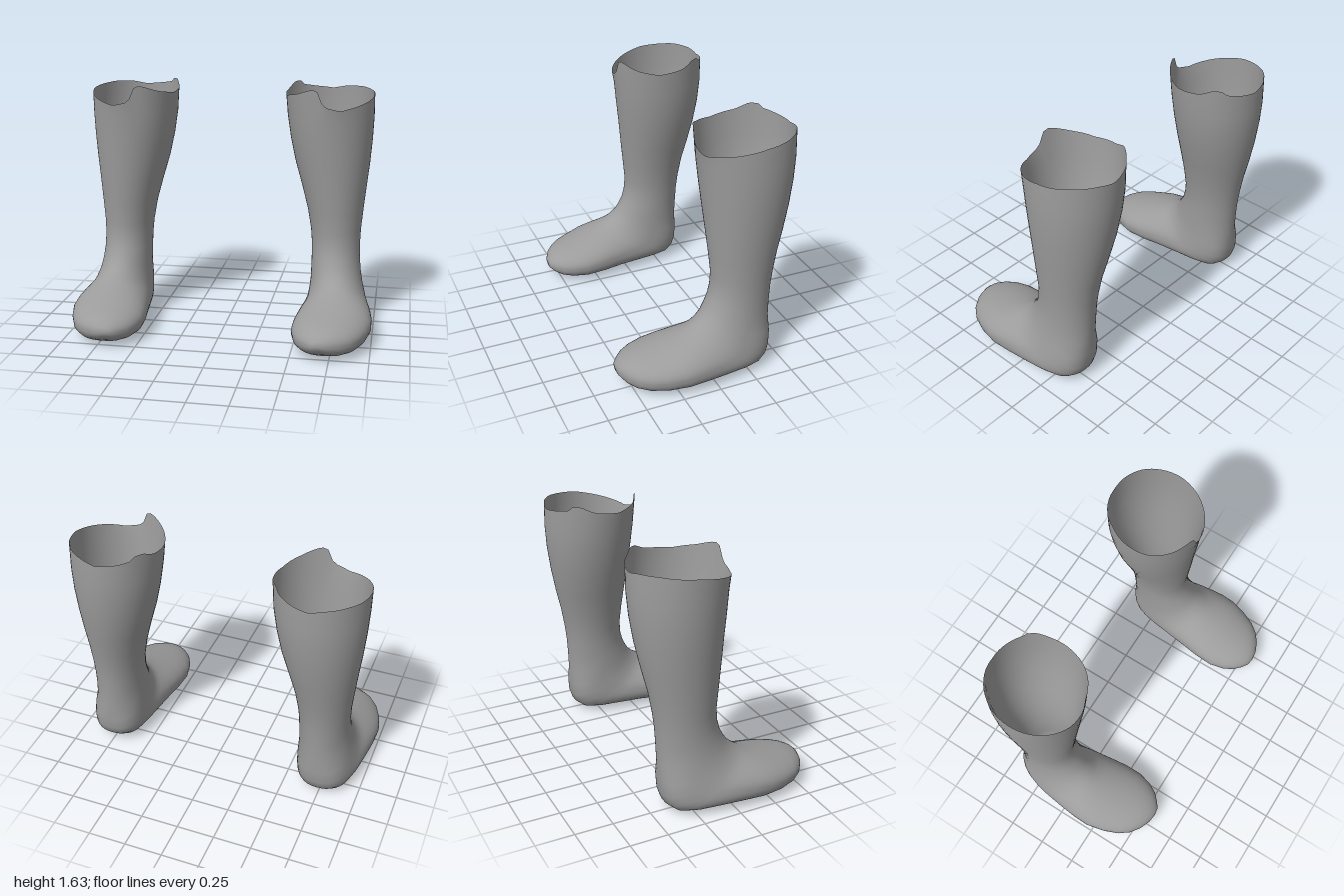
import * as THREE from 'three';

const SEGMENTS = 60;

// Sections from the cuff to the toes:
// [front z, front y, back z, back y, inner x, outer x]
const SECTIONS = [
  [0.04, 1.57, -0.578, 1.57, 0.37, 0.955],
  [0.025, 1.43, -0.58, 1.43, 0.382, 0.956],
  [0.01, 1.28, -0.57, 1.28, 0.405, 0.95],
  [-0.008, 1.12, -0.548, 1.12, 0.44, 0.938],
  [-0.025, 0.95, -0.515, 0.95, 0.49, 0.92],
  [-0.041, 0.8, -0.48, 0.8, 0.53, 0.905],
  [-0.055, 0.66, -0.457, 0.66, 0.555, 0.893],
  [-0.048, 0.57, -0.446, 0.56, 0.564, 0.89],
  [-0.03, 0.5, -0.44, 0.45, 0.566, 0.892],
  [0, 0.44, -0.436, 0.33, 0.566, 0.902],
  [0.025, 0.402, -0.436, 0.22, 0.565, 0.915],
  [0.05, 0.378, -0.43, 0.13, 0.56, 0.93],
  [0.075, 0.357, -0.41, 0.07, 0.555, 0.942],
  [0.1, 0.341, -0.36, 0.027, 0.55, 0.955],
  [0.125, 0.326, -0.27, 0.015, 0.54, 0.97],
  [0.16, 0.31, -0.12, 0.013, 0.525, 0.985],
  [0.21, 0.291, 0.03, 0.013, 0.51, 0.997],
  [0.28, 0.27, 0.17, 0.006, 0.495, 0.998],
  [0.36, 0.246, 0.32, 0.004, 0.492, 0.97],
  [0.44, 0.226, 0.43, 0.016, 0.515, 0.93],
  [0.5, 0.206, 0.5, 0.033, 0.55, 0.88],
  [0.545, 0.182, 0.545, 0.058, 0.595, 0.82],
  [0.575, 0.153, 0.575, 0.088, 0.635, 0.75],
];
const TOE_TIP = [0.685, 0.12, 0.584];

// Uneven cuff edge: [degrees from the front towards the outer side, height]
const RIM = [
  [0, 1.52], [17, 1.5], [45, 1.53], [90, 1.58], [135, 1.6], [160, 1.595], [180, 1.575],
  [205, 1.59], [222, 1.605], [229, 1.635], [240, 1.63], [255, 1.592], [287, 1.57],
  [315, 1.592], [328, 1.613], [340, 1.632], [347, 1.63], [354, 1.545], [360, 1.52],
];

function rimHeight(deg) {
  const k = Math.max(1, RIM.findIndex((p) => p[0] >= deg));
  const [a0, y0] = RIM[k - 1], [a1, y1] = RIM[k];
  return THREE.MathUtils.mapLinear(deg, a0, a1, y0, y1);
}

// side = 1 builds the left sock, side = -1 its mirror image
function sockGeometry(side) {
  const pos = [], index = [];
  SECTIONS.forEach(([fz, fy, bz, by, xin, xout], i) => {
    for (let j = 0; j < SEGMENTS; j++) {
      const a = (j / SEGMENTS) * Math.PI * 2;
      const c = Math.cos(a), s = Math.sin(a);
      // the sole and heel are fuller than a plain ellipse
      const full = c < 0 && i > 9 ? 0.8 : 1;
      const t = Math.sign(c) * Math.pow(Math.abs(c), full);
      const w = Math.sign(s) * Math.pow(Math.abs(s), full);
      const x = (xin + xout) / 2 + ((xout - xin) / 2) * w;
      const y = i === 0 ? rimHeight((j / SEGMENTS) * 360) : (fy + by) / 2 + ((fy - by) / 2) * t;
      pos.push(side * x, y, (fz + bz) / 2 + ((fz - bz) / 2) * t);
    }
  });
  const tip = pos.length / 3;
  pos.push(side * TOE_TIP[0], TOE_TIP[1], TOE_TIP[2]);

  const face = (a, b, c) => (side > 0 ? index.push(a, b, c) : index.push(a, c, b));
  for (let i = 0; i < SECTIONS.length; i++) {
    for (let j = 0; j < SEGMENTS; j++) {
      const k = (j + 1) % SEGMENTS;
      const p = i * SEGMENTS + j, r = i * SEGMENTS + k;
      if (i === SECTIONS.length - 1) {
        face(p, tip, r);
      } else {
        face(p, p + SEGMENTS, r);
        face(r, p + SEGMENTS, r + SEGMENTS);
      }
    }
  }
  const g = new THREE.BufferGeometry();
  g.setAttribute('position', new THREE.Float32BufferAttribute(pos, 3));
  g.setIndex(index);
  g.computeVertexNormals();
  return g;
}

export function createModel() {
  const group = new THREE.Group();
  group.name = 'pairOfSocks';
  const fabric = new THREE.MeshStandardMaterial({ color: 0x9c9c9c, side: THREE.DoubleSide });
  fabric.name = 'grey fabric';
  for (const [name, side] of [['leftSock', 1], ['rightSock', -1]]) {
    const sock = new THREE.Mesh(sockGeometry(side), fabric);
    sock.name = name;
    group.add(sock);
  }
  return group;
}
